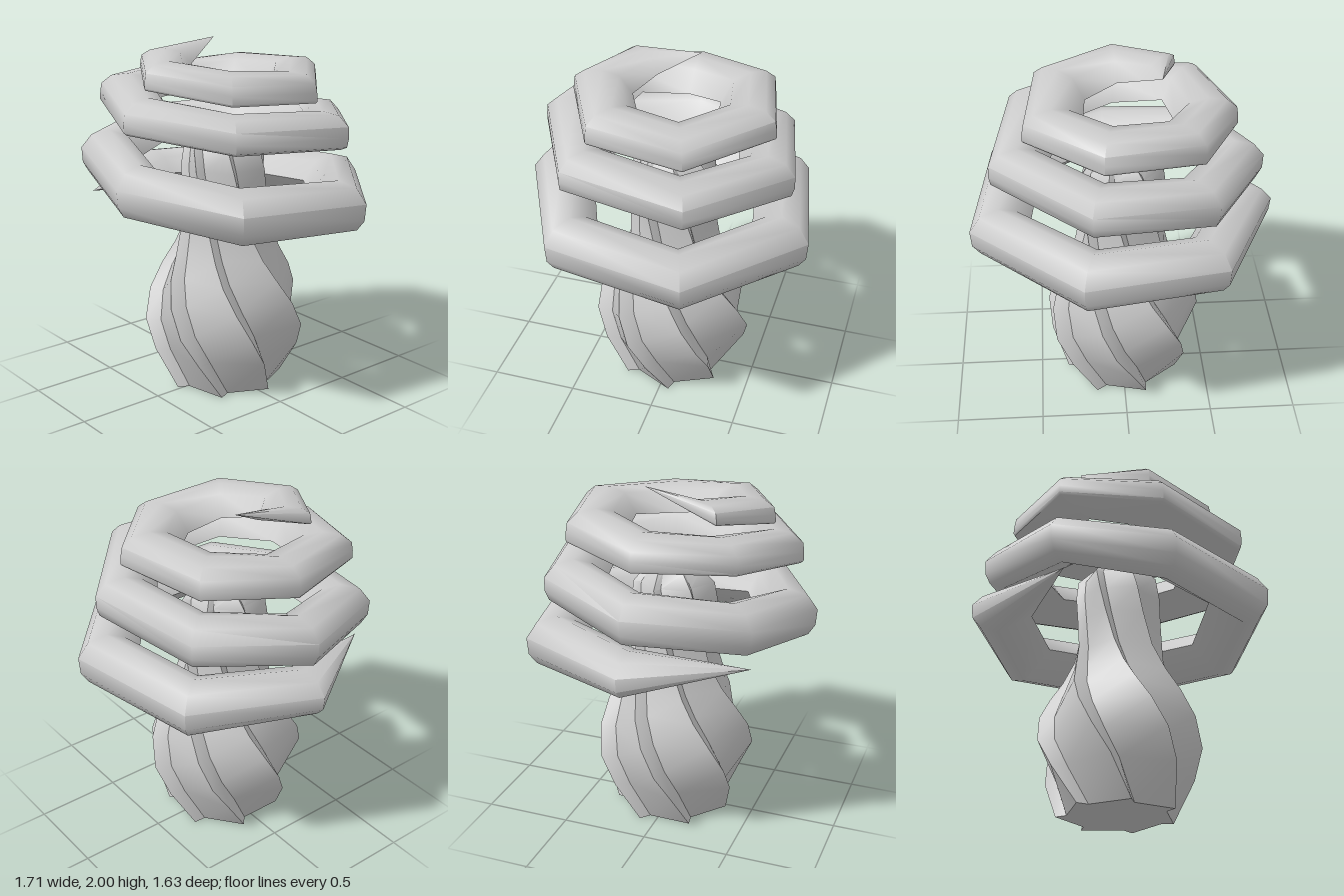
import * as THREE from 'three';
import { toCreasedNormals } from 'three/addons/utils/BufferGeometryUtils.js';

const material = new THREE.MeshStandardMaterial({ color: 0xcccccc, side: THREE.DoubleSide });

// Skin a list of closed rings with equal point counts
function loft(rings, crease) {
  const n = rings[0].length, index = [];
  for (let i = 0; i < rings.length - 1; i++) {
    for (let j = 0; j < n; j++) {
      const a = i * n + j, b = i * n + (j + 1) % n;
      index.push(a, b, b + n, a, b + n, a + n);
    }
  }
  const geometry = new THREE.BufferGeometry().setFromPoints(rings.flat());
  geometry.setIndex(index);
  return toCreasedNormals(geometry, crease);
}

// Stem: seven ratchet-shaped lobes, twisted while following a bulging profile
function createStem() {
  // height, outer radius, twist in degrees
  const profile = [
    [0, 0, 48], [0, 0.34, 48], [0.22, 0.43, 31], [0.38, 0.47, 19], [0.54, 0.445, 8],
    [0.68, 0.385, -2], [0.8, 0.32, -10], [0.95, 0.265, -20], [1.15, 0.25, -32],
    [1.3, 0.25, -40], [1.42, 0.235, -47], [1.5, 0.16, -52], [1.535, 0.09, -55], [1.535, 0, -55],
  ];
  const rings = profile.map(([y, r, twist]) => {
    const ring = [];
    for (let k = 0; k < 7; k++) {
      for (const [turn, scale] of [[0, 1], [6, 0.82]]) {
        const a = THREE.MathUtils.degToRad(twist + turn + k * 360 / 7);
        ring.push(new THREE.Vector3(Math.sin(a) * r * scale, y, Math.cos(a) * r * scale));
      }
    }
    return ring;
  });
  return new THREE.Mesh(loft(rings, 0.75), material);
}

// Cap: a seven-cornered rising coil, pointed at both ends
function createCap() {
  // outer corner x, z, then centre height and half height
  const path = [
    [-0.46, 0.6, 1.15, 0],
    [-0.86, 0, 1.14, 0.12], [-0.54, -0.67, 1.13, 0.15], [0.24, -0.82, 1.145, 0.155],
    [0.85, -0.28, 1.165, 0.145], [0.75, 0.49, 1.21, 0.15], [0.1, 0.81, 1.27, 0.145],
    [-0.54, 0.62, 1.36, 0.135], [-0.8, 0, 1.43, 0.13], [-0.48, -0.58, 1.48, 0.12],
    [0.19, -0.72, 1.53, 0.11], [0.73, -0.26, 1.575, 0.1], [0.63, 0.44, 1.62, 0.095],
    [0.06, 0.73, 1.67, 0.09], [-0.48, 0.52, 1.74, 0.08], [-0.64, 0, 1.75, 0.085],
    [-0.41, -0.47, 1.79, 0.085], [0.12, -0.59, 1.81, 0.08], [0.54, -0.2, 1.79, 0.08],
    [0.48, 0.34, 1.825, 0.08], [0.03, 0.57, 1.865, 0.07], [-0.32, 0.35, 1.91, 0.05],
    [-0.21, -0.09, 2, 0],
  ];
  // cross-section as [low, high]: domed above with a flat underside,
  // which tilts from sloping to level as the coil climbs
  const section = [
    [[0.1, -1], [0.95, -1]], [[0.7, -0.8], [1, -0.85]], [[0.95, -0.4], [0.98, -0.3]],
    [[1, 0.25], [0.93, 0.3]], [[0.65, 0.8], [0.6, 0.85]], [[0, 1], [0, 1]],
    [[-0.6, 0.75], [-0.6, 0.7]], [[-1.05, 0.05], [-1.05, -0.7]],
  ];
  const rings = path.map(([x, z, y, h], k) => {
    const outer = Math.hypot(x, z);
    const w = h ? Math.min(0.17, 0.08 + h * 1.2) : 0;
    const t = THREE.MathUtils.smoothstep(k, 4, 15);
    return section.map(([low, high]) => {
      const u = THREE.MathUtils.lerp(low[0], high[0], t);
      const v = THREE.MathUtils.lerp(low[1], high[1], t);
      const s = (outer - w + u * w) / outer;
      return new THREE.Vector3(x * s, y + v * h, z * s);
    });
  });
  return new THREE.Mesh(loft(rings, 1.05), material);
}

export function createModel() {
  const model = new THREE.Group();
  model.name = 'spiralMushroom';
  const stem = createStem();
  stem.name = 'twistedStem';
  const cap = createCap();
  cap.name = 'spiralCap';
  model.add(stem, cap);
  return model;
}
